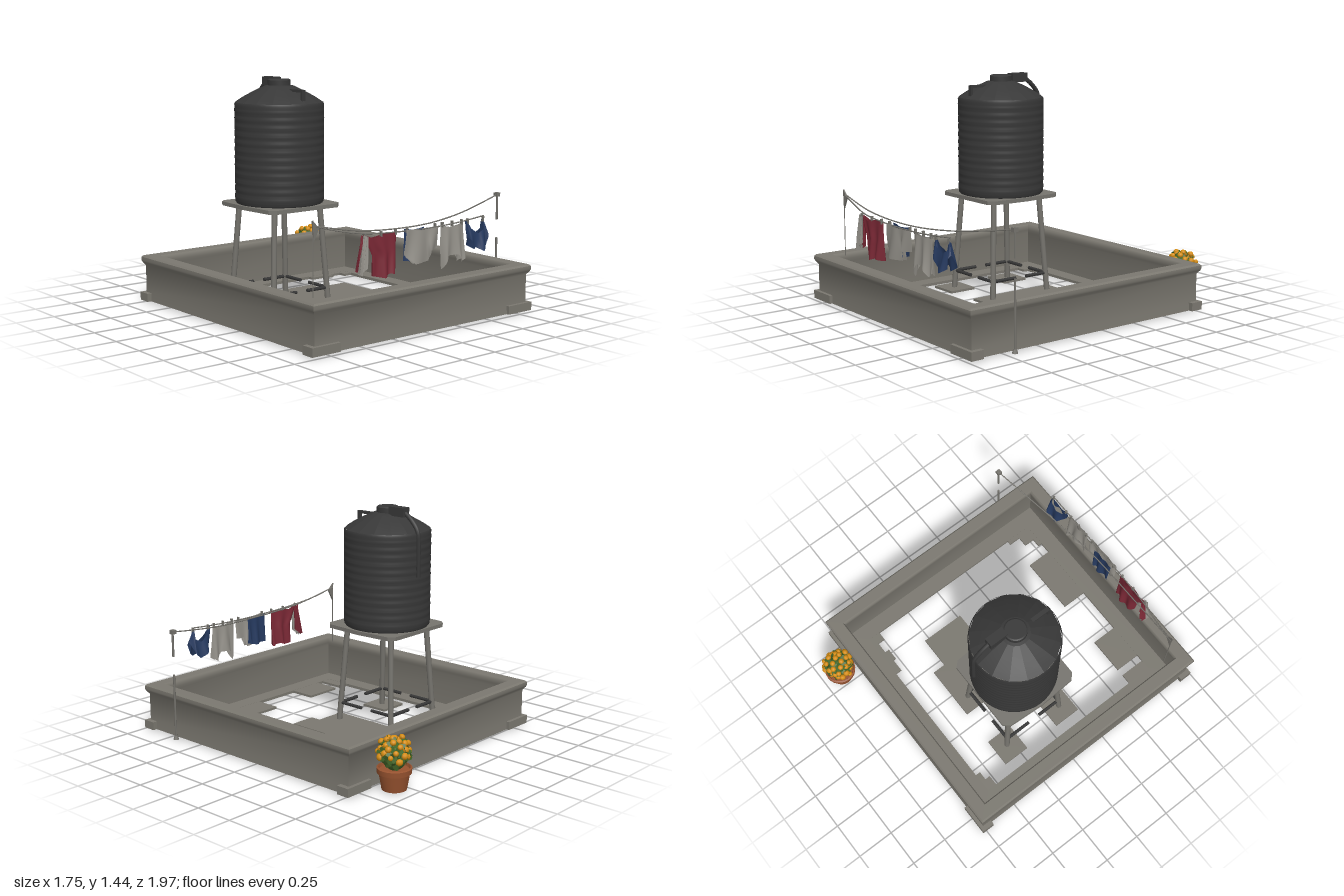
import * as THREE from 'three';
import { mergeGeometries, toCreasedNormals } from 'three/addons/utils/BufferGeometryUtils.js';

const mat = (name, color, side = THREE.FrontSide) => {
  const m = new THREE.MeshStandardMaterial({ color, side });
  m.name = name;
  return m;
};
const V = (x, y, z) => new THREE.Vector3(x, y, z);

export function createModel() {
  const concrete = mat('concrete', 0x7b7870);
  const black = mat('black plastic', 0x383838);
  const metal = mat('weathered metal', 0x76746e, THREE.DoubleSide);
  const linen = mat('grey linen', 0x94918a, THREE.DoubleSide);
  const red = mat('red cloth', 0x7a2835, THREE.DoubleSide);
  const blue = mat('blue cloth', 0x263a60, THREE.DoubleSide);
  const clay = mat('terracotta', 0x96522f);
  const green = mat('leaf green', 0x436629, THREE.DoubleSide);
  const orange = mat('flower orange', 0xd68d12);

  const model = new THREE.Group();
  const add = (name, geo, material, parent = model) => {
    const m = new THREE.Mesh(geo, material);
    m.name = name;
    parent.add(m);
    return m;
  };
  const group = (name) => {
    const g = new THREE.Group();
    g.name = name;
    model.add(g);
    return g;
  };
  // box given by its extents
  const slab = (x0, x1, y0, y1, z0, z1) =>
    new THREE.BoxGeometry(x1 - x0, y1 - y0, z1 - z0).translate((x0 + x1) / 2, (y0 + y1) / 2, (z0 + z1) / 2);
  // round bar between two points
  const bar = (a, b, r, sides = 8) => {
    const d = b.clone().sub(a);
    const q = new THREE.Quaternion().setFromUnitVectors(V(0, 1, 0), d.clone().normalize());
    return new THREE.CylinderGeometry(r, r, d.length(), sides).applyQuaternion(q)
      .translate((a.x + b.x) / 2, (a.y + b.y) / 2, (a.z + b.z) / 2);
  };
  const tube = (pts, r, seg = 24) =>
    new THREE.TubeGeometry(new THREE.CatmullRomCurve3(pts.map((p) => V(...p))), seg, r, 6);
  const lathe = (pts, seg, crease = 0.6) =>
    toCreasedNormals(new THREE.LatheGeometry(pts.map((p) => new THREE.Vector2(...p)), seg), crease);
  const outline = (pts) => new THREE.Shape(pts.map((p) => new THREE.Vector2(...p)));

  // Parapet: [inset, height] profile swept around the roof rectangle
  const profile = [[0.02, 0.01], [0.024, 0.06], [0.024, 0.235], [0.008, 0.257], [0.003, 0.27], [0.004, 0.29],
    [0.014, 0.3], [0.088, 0.3], [0.096, 0.29], [0.096, 0.262], [0.088, 0.24], [0.088, 0.028], [0.196, 0.028],
    [0.196, 0.01], [0.02, 0.01]];
  const corners = [[1, 1], [1, -1], [-1, -1], [-1, 1]];
  const at = (k, [d, y]) => {
    const [sx, sz] = corners[k % 4];
    return [-0.005 + sx * (0.861 - d), y, 0.107 + sz * (0.886 - d)];
  };
  const pos = [];
  for (let k = 0; k < 4; k++) {
    for (let i = 0; i < profile.length - 1; i++) {
      const a = at(k, profile[i]), b = at(k + 1, profile[i]);
      const c = at(k + 1, profile[i + 1]), d = at(k, profile[i + 1]);
      pos.push(...a, ...b, ...c, ...a, ...c, ...d);
    }
  }
  const ring = new THREE.BufferGeometry();
  ring.setAttribute('position', new THREE.Float32BufferAttribute(pos, 3));
  add('parapet', toCreasedNormals(ring, 0.7), concrete);

  // Corner feet
  for (const [sx, sz] of corners) {
    const f = slab(-0.1, 0.1, 0.01, 0.062, -0.042, 0.042);
    add('cornerFoot', f, concrete).position.set(-0.005 + sx * 0.768, 0, 0.107 + sz * 0.842);
  }

  // Broken floor pieces: [x0, x1, z0, z1]
  const floor = group('brokenFloor');
  [[-0.17, 0.2, -0.375, 0.23], [0.03, 0.2, 0.23, 0.3], [0.2, 0.42, -0.285, 0.015],
    [-0.6, -0.41, -0.38, -0.2], [-0.6, -0.41, 0.05, 0.235],
    [-0.55, -0.3, 0.625, 0.8], [0.03, 0.42, 0.63, 0.8], [-0.68, -0.6, 0.625, 0.8],
    [-0.68, -0.6, -0.6, -0.515], [-0.6, -0.54, -0.6, -0.55], [0.35, 0.52, -0.6, -0.54],
    [0.44, 0.52, -0.54, -0.52], [0.52, 0.6, -0.6, -0.55], [0.6, 0.67, -0.6, -0.5],
    [0.5, 0.67, 0.77, 0.8], [0.56, 0.67, 0.7, 0.77], [0.63, 0.67, 0.62, 0.7],
  ].forEach(([x0, x1, z0, z1]) => add('floorPiece', slab(x0, x1, 0.012, 0.027, z0, z1), concrete, floor));

  // Water tank with softly rippled wall and faceted dome
  const tank = group('waterTank');
  tank.position.set(-0.282, 0, -0.075);
  const body = [[0, 0.672], [0.265, 0.672], [0.273, 0.682]];
  for (let i = 0; i <= 72; i++)
    body.push([0.2755 - 0.0014 * Math.cos((i * Math.PI) / 3), 0.69 + (i * 0.58) / 72]);
  body.push([0.277, 1.28], [0.27, 1.295]);
  add('tankBody', lathe(body, 48, 0.8), black, tank);
  add('tankDome', lathe([[0.272, 1.294], [0.23, 1.322], [0.16, 1.36], [0.09, 1.393], [0.06, 1.398]], 16, 0.1), black, tank);
  add('tankLid', lathe([[0.06, 1.385], [0.07, 1.395], [0.07, 1.428], [0.062, 1.434], [0, 1.434]], 24), black, tank);
  // Front bracket
  add('frontBracketArm', slab(-0.013, 0.013, 1.362, 1.378, 0.05, 0.245), black, tank);
  add('frontBracketPost', slab(-0.013, 0.013, 1.275, 1.378, 0.228, 0.245), black, tank);
  // Rear inlet and its down pipe
  add('inletBox', slab(0, 0.058, 1.385, 1.442, -0.175, -0.055), black, tank);
  add('downPipe', tube([[0.03, 1.42, -0.15], [0.032, 1.37, -0.22], [0.034, 1.305, -0.272],
    [0.034, 1.23, -0.28], [0.034, 1.13, -0.281], [0.034, 1.02, -0.281]], 0.014), black, tank);

  // Stand: chamfered table top, four splayed legs, low braces
  const stand = group('tankStand');
  const hx = 0.284, hz = 0.292, c = 0.05;
  const top = outline([[hx - 0.015, hz - c], [hx - c, hz - 0.015], [-hx + c, hz - 0.015], [-hx + 0.015, hz - c],
    [-hx, 0], [-hx + 0.015, -hz + c], [-hx + c, -hz + 0.015], [hx - c, -hz + 0.015], [hx - 0.015, -hz + c], [hx, 0]]);
  const topGeo = new THREE.ExtrudeGeometry(top, { depth: 0.024, bevelEnabled: false });
  topGeo.rotateX(-Math.PI / 2).translate(-0.282, 0.649, -0.07);
  add('standTop', topGeo, metal, stand);
  const foot = (sx, sz, y) => {
    const t = y / 0.65;
    return V(-0.287 + sx * (0.215 - 0.04 * t), y, -0.072 + sz * (0.222 - 0.04 * t));
  };
  for (const [sx, sz] of corners) add('standLeg', bar(foot(sx, sz, 0.015), foot(sx, sz, 0.65), 0.018), metal, stand);
  for (let k = 0; k < 4; k++) {
    const a = foot(...corners[k], 0.14), b = foot(...corners[(k + 1) % 4], 0.14);
    for (const [s, e] of [[0, 0.42], [0.62, 1]])
      add('standBrace', bar(a.clone().lerp(b, s), a.clone().lerp(b, e), 0.011, 6), black, stand);
  }

  // Washing line
  const line = group('washingLine');
  add('leftPost', bar(V(-0.74, 0.29, 0.83), V(-0.74, 0.72, 0.83), 0.003, 6), metal, line);
  add('leftBracket', new THREE.ExtrudeGeometry(outline([[-0.745, 0.72], [-0.738, 0.6], [-0.698, 0.675]]),
    { depth: 0.01, bevelEnabled: false }).translate(0, 0, 0.825), metal, line);
  add('rightPostLower', bar(V(0.858, 0, 0.69), V(0.858, 0.425, 0.69), 0.007, 6), metal, line);
  add('rightPostUpper', bar(V(0.858, 0.54, 0.69), V(0.858, 0.715, 0.69), 0.007, 6), metal, line);
  add('rightPostFoot', new THREE.CylinderGeometry(0.01, 0.018, 0.025, 8).translate(0.858, 0.0125, 0.69), metal, line);
  add('rightPostCap', new THREE.BoxGeometry(0.03, 0.025, 0.03).translate(0.855, 0.7, 0.69), metal, line);
  add('frontRope', tube([[-0.74, 0.69, 0.83], [-0.58, 0.648, 0.85], [-0.4, 0.617, 0.88], [0, 0.6, 0.895],
    [0.3, 0.607, 0.895], [0.53, 0.625, 0.89]], 0.004), metal, line);
  add('rearRope', tube([[-0.74, 0.69, 0.825], [-0.4, 0.628, 0.84], [0.05, 0.61, 0.835], [0.4, 0.63, 0.785],
    [0.65, 0.665, 0.735], [0.858, 0.7, 0.69]], 0.004), metal, line);

  // Cloth: two rippled layers stretched over rows of points, top row first
  const mix = (list, t, blend) => {
    const s = t * (list.length - 1), i = Math.min(Math.floor(s), list.length - 2);
    return blend(list[i], list[i + 1], s - i);
  };
  const lerp2 = (a, b, f) => [a[0] + (b[0] - a[0]) * f, a[1] + (b[1] - a[1]) * f];
  const cloth = (name, material, z, thick, phase, rows) => {
    const layers = [1, -1].map((side) => {
      const g = new THREE.PlaneGeometry(1, 1, 24, 8), p = g.attributes.position;
      for (let i = 0; i < p.count; i++) {
        const u = p.getX(i) + 0.5, v = 0.5 - p.getY(i);
        const [x, y] = mix(rows.map((r) => mix(r, u, lerp2)), v, lerp2);
        const ripple = Math.sin(u * 14 + phase + v * 2) * 0.009 * (0.3 + v);
        const bulge = thick * Math.sqrt(Math.max(0, Math.sin(Math.PI * u))) * (0.4 + 0.6 * v);
        p.setXYZ(i, x, y, z + ripple + side * bulge);
      }
      g.computeVertexNormals();
      return g;
    });
    add(name, mergeGeometries(layers), material, line);
  };
  cloth('greySock', linen, 0.9, 0.01, 0, [[[-0.435, 0.615], [-0.4, 0.6]],
    [[-0.47, 0.4], [-0.455, 0.385], [-0.405, 0.44]]]);
  cloth('redSock', red, 0.877, 0.01, 0, [[[-0.435, 0.61], [-0.402, 0.6]],
    [[-0.465, 0.41], [-0.452, 0.395], [-0.408, 0.445]]]);
  cloth('redShirt', red, 0.885, 0.032, 1, [[[-0.43, 0.615], [-0.36, 0.588], [-0.27, 0.6], [-0.18, 0.605]],
    [[-0.365, 0.49], [-0.3, 0.49], [-0.24, 0.49], [-0.182, 0.49]],
    [[-0.358, 0.37], [-0.29, 0.355], [-0.24, 0.375], [-0.185, 0.36]]]);
  cloth('greyTowel', linen, 0.902, 0.014, 2, [[[-0.115, 0.61], [0, 0.595], [0.14, 0.6]],
    [[-0.125, 0.47], [-0.06, 0.405], [0.06, 0.41], [0.065, 0.47], [0.14, 0.475]]]);
  cloth('blueShirt', blue, 0.868, 0.014, 3, [[[-0.1, 0.61], [-0.02, 0.595], [0.06, 0.605]],
    [[-0.095, 0.42], [0, 0.415], [0.055, 0.43]]]);
  cloth('greyShirt', linen, 0.895, 0.024, 4, [[[0.165, 0.605], [0.25, 0.585], [0.35, 0.6]],
    [[0.175, 0.34], [0.215, 0.42], [0.29, 0.42], [0.33, 0.365], [0.365, 0.39]]]);
  cloth('blueTrousers', blue, 0.89, 0.042, 5,
    [[[0.375, 0.615], [0.41, 0.56], [0.47, 0.525], [0.515, 0.55], [0.52, 0.62]],
      [[0.385, 0.51], [0.43, 0.45], [0.485, 0.42], [0.53, 0.45], [0.55, 0.53]]]);
  for (const x of [-0.42, -0.3, -0.19, -0.1, 0.12, 0.18, 0.26, 0.34, 0.39, 0.52])
    add('clothesPeg', slab(x - 0.005, x + 0.005, 0.59, 0.622, 0.885, 0.9), metal, line);

  // Potted flowers
  const plant = group('pottedPlant');
  plant.position.set(0.578, 0, -0.873);
  add('pot', lathe([[0, 0.008], [0.073, 0.008], [0.09, 0.105], [0.1, 0.107], [0.102, 0.138],
    [0.092, 0.142], [0.086, 0.125], [0, 0.125]], 24), clay, plant);
  add('leafMass', new THREE.SphereGeometry(0.072, 12, 8).scale(1, 1.1, 1).translate(0, 0.2, 0), green, plant);
  const scatter = (n, r, low, make) => mergeGeometries(Array.from({ length: n }, (_, i) => {
    const h = 0.98 - ((0.98 - low) * i) / n, a = i * 2.39996, s = Math.sqrt(1 - h * h);
    const dir = V(Math.cos(a) * s, h, Math.sin(a) * s);
    const q = new THREE.Quaternion().setFromUnitVectors(V(0, 1, 0), dir);
    const k = r * (0.92 + 0.1 * Math.sin(i * 5.3));
    return make(i).applyQuaternion(q).translate(dir.x * k, 0.222 + dir.y * k * 1.06, dir.z * k);
  }));
  add('leaves', scatter(110, 0.088, -0.7, (i) =>
    new THREE.CircleGeometry(0.026, 6).scale(0.6, 1, 1).rotateX(-1.05).rotateY(i * 1.7)), green, plant);
  add('flowers', scatter(34, 0.097, -0.35, (i) =>
    new THREE.SphereGeometry(0.019 + 0.003 * Math.sin(i * 3.1), 8, 6).scale(1, 0.85, 1)), orange, plant);

  return model;
}
